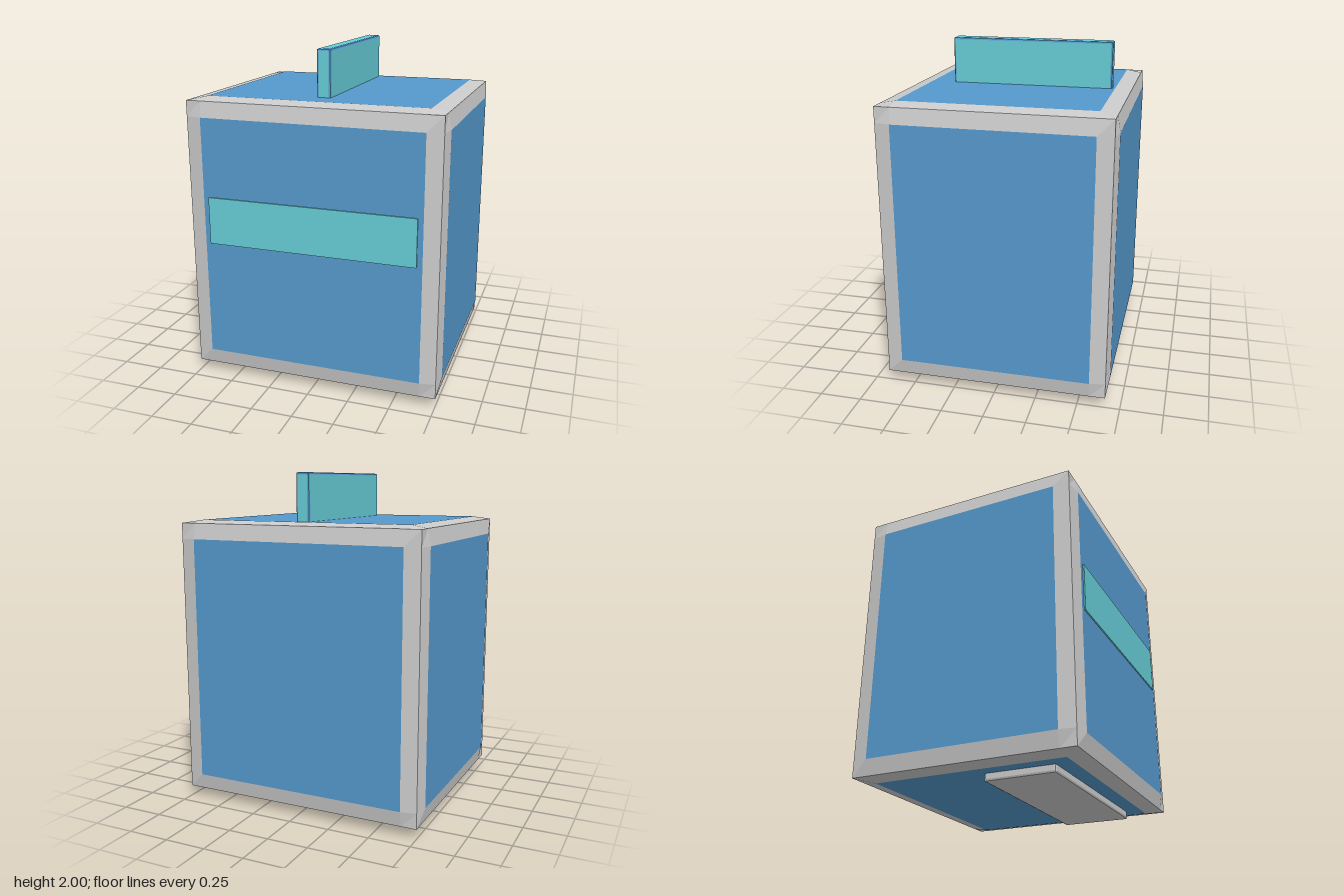
import * as THREE from 'three';

const paint = (color) => new THREE.MeshStandardMaterial({ color, flatShading: true });
const GREY = paint(0xcccccc);
const BLUE = paint(0x5599cc);
const CYAN = paint(0x66ccd6);

// Box with a two-step bevel: flat face panels and the rim around them become separate meshes.
// bevel = width of the rim on each face, drop = how far the box edges are pulled inwards.
function bevelBox(name, size, centre, bevel, drop, panelMat, rimMat) {
  const geo = new THREE.BoxGeometry(1, 1, 1, 3, 3, 3);
  const pos = geo.attributes.position;
  for (let i = 0; i < pos.count; i++) {
    const c = [pos.getX(i), pos.getY(i), pos.getZ(i)];
    const outer = c.map((v) => Math.abs(v) > 0.4);
    const onEdge = outer.filter(Boolean).length > 1;
    const p = c.map((v, a) => {
      const half = size[a] / 2;
      return Math.sign(v) * (outer[a] ? half - (onEdge ? drop : 0) : half - bevel);
    });
    pos.setXYZ(i, ...p);
  }
  // The fifth of the nine cells on each side is the panel
  const panel = [], rim = [];
  geo.index.array.forEach((v, k) => (Math.floor(k / 6) % 9 === 4 ? panel : rim).push(v));

  const group = new THREE.Group();
  group.name = name;
  group.position.set(...centre);
  for (const [part, index, mat] of [['Panels', panel, panelMat], ['Rim', rim, rimMat]]) {
    const g = geo.clone();
    g.setIndex(index);
    const flat = g.toNonIndexed();
    flat.computeVertexNormals();
    const mesh = new THREE.Mesh(flat, mat);
    mesh.name = name + part;
    group.add(mesh);
  }
  return group;
}

export function createModel() {
  const model = new THREE.Group();
  model.name = 'cubeBox';

  // Main case: grey frame with blue faces
  model.add(bevelBox('case', [1.54, 1.68, 1.36], [0, 0.885, 0], 0.11, 0.017, BLUE, GREY));

  // Upright fin on top with fine blue edges
  model.add(bevelBox('topFin', [0.086, 0.32, 0.98], [0, 1.84, -0.063], 0.013, 0.004, CYAN, BLUE));

  // Thin band across the front
  const band = new THREE.Mesh(new THREE.BoxGeometry(1.256, 0.284, 0.03), CYAN);
  band.name = 'frontBand';
  band.position.set(0, 1.003, 0.673);
  model.add(band);

  // Foot plate under the front half
  model.add(bevelBox('footPlate', [1.15, 0.08, 0.415], [0, 0.04, 0.267], 0.014, 0.004, GREY, GREY));

  return model;
}
